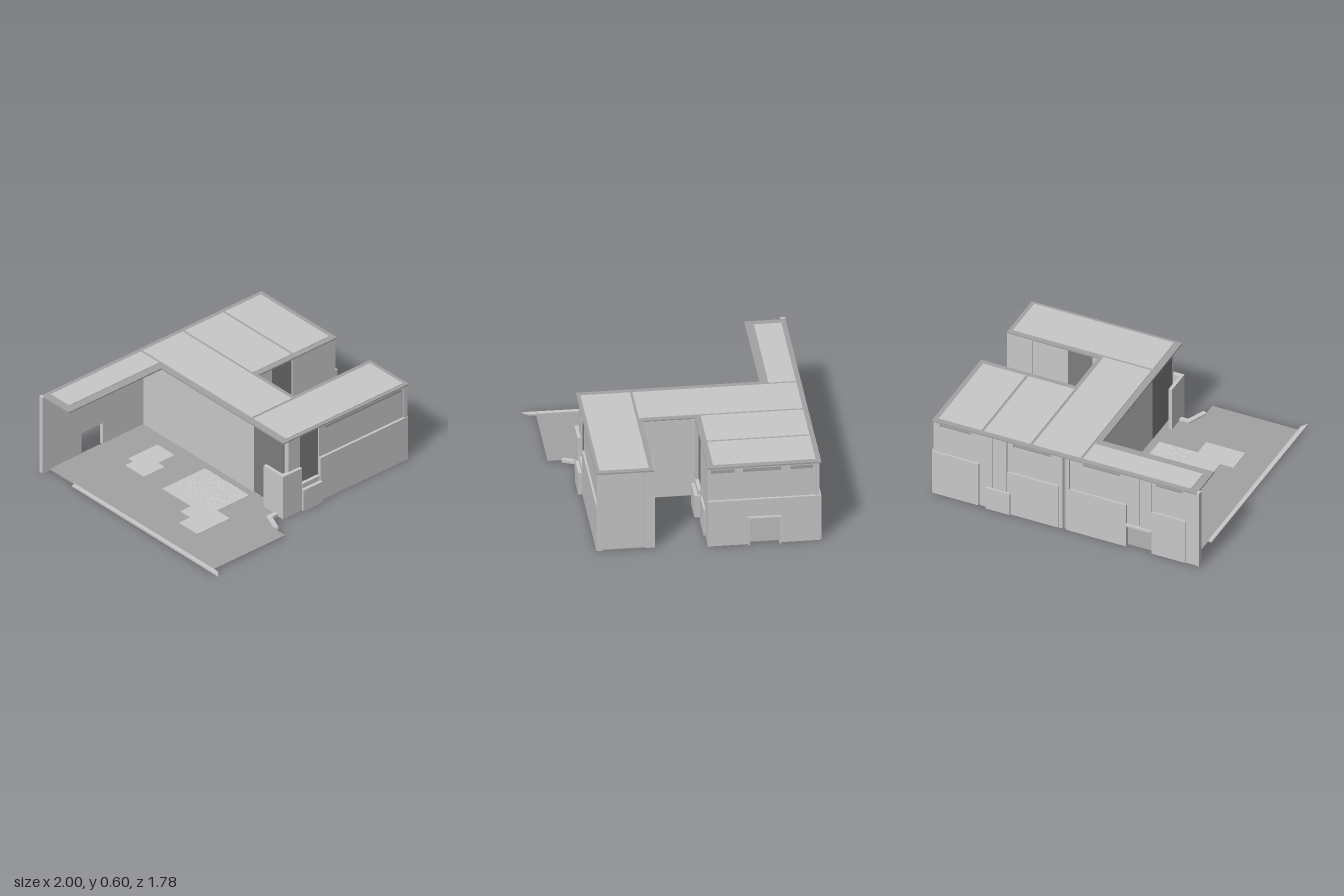
import * as THREE from 'three';

export function createModel() {
  const model = new THREE.Group();
  model.name = 'courtyardHouse';
  const mat = (name, color, extra = {}) => {
    const m = new THREE.MeshStandardMaterial({ color, ...extra });
    m.name = name;
    return m;
  };
  const light = mat('lightGrey', 0xc8c8c8, { side: THREE.DoubleSide });
  const mid = mat('midGrey', 0xa2a2a2, { side: THREE.DoubleSide });
  const dark = mat('darkGlass', 0x7d7d7d);

  // Box given by its limits on each axis
  const box = (name, m, x0, x1, y0, y1, z0, z1, parent = model) => {
    const mesh = new THREE.Mesh(new THREE.BoxGeometry(x1 - x0, y1 - y0, z1 - z0), m);
    mesh.position.set((x0 + x1) / 2, (y0 + y1) / 2, (z0 + z1) / 2);
    mesh.name = name;
    parent.add(mesh);
    return mesh;
  };
  // Flat slab from an [x, z] outline
  const slab = (name, m, pts, y0, y1) => {
    const shape = new THREE.Shape(pts.map(([x, z]) => new THREE.Vector2(x, -z)));
    const geo = new THREE.ExtrudeGeometry(shape, { depth: y1 - y0, bevelEnabled: false });
    geo.rotateX(-Math.PI / 2);
    const mesh = new THREE.Mesh(geo, m);
    mesh.position.y = y0;
    mesh.name = name;
    model.add(mesh);
  };

  // Floor, leaving the inner court open
  slab('floor', mid, [
    [-0.935, -0.86], [0.96, -0.86], [0.96, -0.125], [0.28, -0.125], [0.28, 0.235], [0.95, 0.235],
    [0.95, 0.62], [-0.16, 0.62], [-0.16, 0.55], [-0.235, 0.55], [-0.297, 0.7], [-0.297, 0.8], [-0.935, 0.8],
  ], 0.003, 0.009);
  slab('northPaving', light, [
    [-0.46, -0.6], [-0.2, -0.6], [-0.2, -0.425], [-0.345, -0.425],
    [-0.345, -0.36], [-0.53, -0.36], [-0.53, -0.55], [-0.46, -0.55],
  ], 0.001, 0.012);
  slab('southPaving', light, [
    [-0.535, -0.17], [-0.157, -0.17], [-0.157, -0.14], [-0.415, -0.14], [-0.415, 0.26], [-0.157, 0.26],
    [-0.157, 0.275], [-0.44, 0.275], [-0.44, 0.405], [-0.73, 0.405], [-0.73, 0.22], [-0.63, 0.22],
    [-0.63, 0.12], [-0.535, 0.12],
  ], 0.001, 0.012);
  for (const [x, z] of [[0.87, -0.69], [0.22, -0.53], [0.41, 0.56], [0.84, 0.38]])
    box('floorPatch', light, x - 0.09, x + 0.09, 0.001, 0.012, z - 0.06, z + 0.06);

  // Rippled pebble bed
  const pebble = new THREE.PlaneGeometry(0.26, 0.4, 26, 40).rotateX(-Math.PI / 2);
  const pos = pebble.attributes.position;
  for (let i = 0; i < pos.count; i++) {
    const h = Math.sin(i * 12.9898) * 43758.5453;
    pos.setY(i, (h - Math.floor(h)) * 0.006);
  }
  pebble.computeVertexNormals();
  const bed = new THREE.Mesh(pebble, light);
  bed.position.set(-0.286, 0.011, 0.06);
  bed.name = 'pebbleBed';
  model.add(bed);
  box('pebbleBedBase', light, -0.416, -0.157, 0.001, 0.0105, -0.14, 0.26);

  // Kerbs at the edges of the yard
  slab('westKerb', light, [[-0.96, -0.6], [-0.932, -0.6], [-0.932, 0.84], [-0.965, 0.885]], 0, 0.012);
  slab('entryKerb', light, [
    [-0.157, 0.55], [-0.245, 0.55], [-0.305, 0.695], [-0.275, 0.71], [-0.222, 0.585], [-0.157, 0.585],
  ], 0, 0.02);

  // Roofs: thin decks with raised panels
  const roof = (name, x0, x1, z0, z1) => box(name, mid, x0, x1, 0.584, 0.595, z0, z1);
  roof('canopyRoof', -0.98, -0.157, -0.885, -0.607);
  roof('hallRoof', -0.157, 0.278, -0.885, 0.235);
  roof('eastRoof', 0.278, 0.975, -0.885, -0.12);
  roof('frontRoof', -0.157, 0.955, 0.235, 0.627);
  const panels = [
    [-0.925, -0.127, -0.85, -0.665], [-0.11, 0.245, -0.85, 0.252],
    [0.262, 0.605, -0.85, -0.16], [0.622, 0.94, -0.85, -0.16], [-0.11, 0.925, 0.27, 0.602],
  ];
  for (const [x0, x1, z0, z1] of panels) box('roofPanel', light, x0, x1, 0.59, 0.6, z0, z1);

  // Back wall bays: recessed upper part with a slit, thicker lower part
  const top = 0.585;
  const backBay = (x0, x1, s0, s1) => {
    const g = new THREE.Group();
    g.name = 'backBay';
    model.add(g);
    box('lowerWall', light, x0, x1, 0, 0.34, -0.885, -0.855, g);
    box('upperWall', light, x0, x1, 0.34, 0.548, -0.873, -0.855, g);
    box('wallAboveSlit', light, x0, x1, 0.573, top, -0.873, -0.855, g);
    box('wallBesideSlit', light, x0, s0, 0.548, 0.573, -0.873, -0.855, g);
    box('wallBesideSlit', light, s1, x1, 0.548, 0.573, -0.873, -0.855, g);
    box('slitGlass', mid, s0, s1, 0.548, 0.573, -0.868, -0.86, g);
  };
  backBay(0.63, 0.97, 0.69, 0.92);
  backBay(0.04, 0.42, 0.1, 0.38);
  backBay(-0.46, -0.04, -0.41, -0.14);
  backBay(-0.9, -0.65, -0.87, -0.68);
  box('backSlot', mid, -0.04, 0.04, 0, top, -0.866, -0.855);
  for (const s of [-1, 1]) box('slotPilaster', light, s * 0.025 - 0.013, s * 0.025 + 0.013, 0, top, -0.882, -0.86);
  box('endColumn', light, -0.98, -0.9, 0, top, -0.88, -0.85);
  box('endFin', light, -1, -0.98, 0, 0.6, -0.885, -0.85);

  // Tall back bays, one of them open at the bottom
  for (const [x0, x1, y0] of [[0.42, 0.63, 0], [-0.65, -0.46, 0.17]]) {
    const c = (x0 + x1) / 2;
    box('tallBayWall', light, x0, x1, y0, top, -0.868, -0.855);
    box('tallBayPanel', light, x0 + 0.005, c - 0.005, y0, top, -0.882, -0.865);
    box('tallBayPanel', light, c + 0.005, x1 - 0.005, y0, top, -0.876, -0.865);
  }
  box('backBox', light, 0.395, 0.575, 0, 0.17, -0.895, -0.86);
  box('passageHood', light, -0.65, -0.46, 0.17, 0.185, -0.895, -0.855);

  // Central hall
  box('hall', light, -0.1, 0.28, 0.005, top, -0.86, 0.25);

  // East wing: hollow, with a doorway and three slits on its end
  const ew = (name, y0, y1, z0, z1, x1) => box(name, light, 0.935, x1, y0, y1, z0, z1);
  ew('endLowerWall', 0, 0.34, -0.875, -0.6, 0.98);
  ew('endLowerWall', 0, 0.34, -0.4, -0.12, 0.98);
  ew('endWallOverDoor', 0.2, 0.34, -0.6, -0.4, 0.98);
  ew('endUpperWall', 0.34, top, -0.87, -0.12, 0.962);
  for (const [z0, z1] of [[-0.83, -0.68], [-0.615, -0.36], [-0.3, -0.145]])
    box('endSlit', mid, 0.96, 0.968, 0.548, 0.573, z0, z1);
  box('doorFrameSide', light, 0.97, 1, 0, 0.21, -0.612, -0.6);
  box('doorFrameSide', light, 0.97, 1, 0, 0.21, -0.4, -0.388);
  box('doorFrameTop', light, 0.97, 1, 0.2, 0.21, -0.6, -0.4);
  box('courtWall', light, 0.28, 0.962, 0, top, -0.155, -0.135);
  for (const [x0, x1] of [[0.28, 0.4], [0.58, 0.65], [0.83, 0.962]])
    box('courtCladding', light, x0, x1, 0, top, -0.14, -0.122);
  box('courtPanel', light, 0.65, 0.83, 0.2, top, -0.14, -0.125);

  // Front wing
  box('frontWing', light, -0.1, 0.93, 0.005, top, 0.25, 0.595);
  box('frontUpperWall', light, 0.17, 0.945, 0.34, top, 0.59, 0.612);
  box('frontLowerWall', light, 0.17, 0.95, 0, 0.335, 0.59, 0.625);
  box('frontSlit', mid, 0.22, 0.9, 0.55, 0.57, 0.61, 0.616);
  box('frontPier', light, -0.1, 0, 0, top, 0.59, 0.612);
  box('entryScreenFront', light, -0.17, 0, 0, 0.335, 0.6, 0.635);
  box('entryScreenSide', light, -0.17, -0.145, 0, 0.335, 0.44, 0.635);
  box('entryGlass', dark, -0.108, -0.099, 0.02, top, 0.27, 0.57);
  box('eastPier', light, 0.92, 0.95, 0, top, 0.585, 0.62);
  box('eastPier', light, 0.92, 0.95, 0, top, 0.24, 0.3);
  box('eastPanel', light, 0.92, 0.94, 0.01, top, 0.31, 0.575);
  for (const [x0, x1] of [[0.28, 0.32], [0.5, 0.76]]) box('innerCladding', light, x0, x1, 0, top, 0.235, 0.255);
  box('innerCladding', light, 0.76, 0.95, 0, top, 0.23, 0.255);

  // Tall windows standing on planter boxes; dir is the way they face
  const windowUnit = (x0, x1, zWall, dir) => {
    const g = new THREE.Group();
    g.name = 'tallWindow';
    g.position.z = zWall;
    if (dir < 0) g.scale.z = -1;
    model.add(g);
    box('glass', dark, x0, x1, 0.2, top, 0, 0.005, g);
    box('planter', light, x0, x1, 0, 0.165, 0, 0.055, g);
    box('sill', light, x0 + 0.01, x1 - 0.01, 0.165, 0.2, 0, 0.03, g);
  };
  windowUnit(0, 0.17, 0.596, 1);
  windowUnit(0.4, 0.58, -0.135, 1);
  windowUnit(0.32, 0.5, 0.25, -1);
  box('courtPlanter', light, 0.65, 0.83, 0, 0.2, -0.14, -0.11);

  return model;
}
